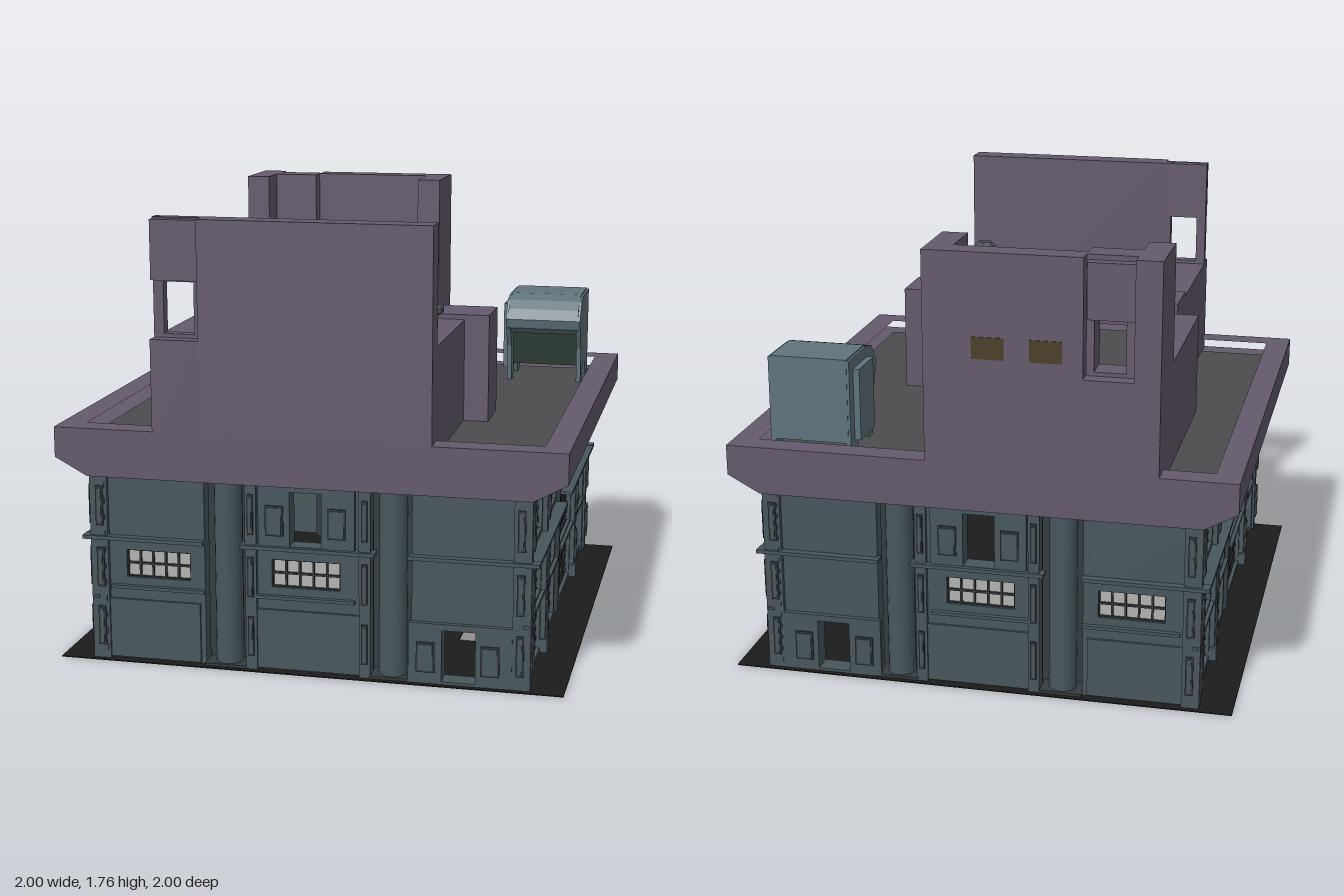
import * as THREE from 'three';

const mat = (color, side = THREE.FrontSide) => new THREE.MeshStandardMaterial({ color, side, flatShading: true });
const M = {
  plaster: mat(0x645a6c), wall: mat(0x48575d), dark: mat(0x333c40), pane: mat(0xb4b4b2), bar: mat(0x34383a),
  deck: mat(0x4c4b4e), unit: mat(0x5f747c), shade: mat(0x23342c), duct: mat(0x4c3d26), vent: mat(0x4a5154),
  floor: mat(0x1c1c1c, THREE.DoubleSide), pit: mat(0x2d1c1a, THREE.DoubleSide),
};
const smoothWall = new THREE.MeshStandardMaterial({ color: 0x48575d });

function add(parent, name, geo, material) {
  const mesh = new THREE.Mesh(geo, material);
  mesh.name = name;
  parent.add(mesh);
  return mesh;
}

// box given by its limits on each axis
function box(parent, name, material, xa, xb, ya, yb, za, zb) {
  const geo = new THREE.BoxGeometry(Math.abs(xb - xa), Math.abs(yb - ya), Math.abs(zb - za));
  geo.translate((xa + xb) / 2, (ya + yb) / 2, (za + zb) / 2);
  return add(parent, name, geo, material);
}

const poly = (pts) => new THREE.Shape(pts.map(([x, y]) => new THREE.Vector2(x, y)));
const rect = (xa, xb, ya, yb) => [[xa, ya], [xb, ya], [xb, yb], [xa, yb]];
function extrude(pts, holes, depth) {
  const shape = poly(pts);
  shape.holes = holes.map(poly);
  return new THREE.ExtrudeGeometry(shape, { depth, bevelEnabled: false });
}
// upright wall in the xy plane, between two z values
const wall = (parent, name, material, outline, holes, za, zb) =>
  add(parent, name, extrude(outline, holes, zb - za).translate(0, 0, za), material);
// level slab from an outline of [x, z] points
function slab(parent, name, material, pts, holes, ya, yb) {
  const flip = (list) => list.map(([x, z]) => [x, -z]);
  return add(parent, name, extrude(flip(pts), holes.map(flip), yb - ya).rotateX(-Math.PI / 2).translate(0, ya, 0), material);
}
// profile of [z, y] points drawn out along x
const alongX = (parent, name, material, pts, xa, xb) =>
  add(parent, name, extrude(pts, [], xb - xa).rotateY(-Math.PI / 2).translate(xb, 0, 0), material);

// glazed opening with a grid of bars
function gridWindow(parent, xa, xb, ya, yb, z, cols, rows) {
  const g = new THREE.Group();
  g.name = 'gridWindow';
  parent.add(g);
  box(g, 'pane', M.pane, xa, xb, ya, yb, z - 0.02, z);
  for (let i = 0; i <= cols; i++) {
    const x = xa + ((xb - xa) * i) / cols;
    box(g, 'verticalBar', M.bar, x - 0.004, x + 0.004, ya, yb, z, z + 0.01);
  }
  for (let j = 0; j <= rows; j++) {
    const y = ya + ((yb - ya) * j) / rows;
    box(g, 'crossBar', M.bar, xa, xb, y - 0.004, y + 0.004, z, z + 0.01);
  }
}

function roundColumn(parent, x, z, r) {
  const geo = new THREE.CylinderGeometry(r, r, 0.75, 20, 1, true).translate(x, 0.375, z);
  add(parent, 'roundColumn', geo, smoothWall);
}

// slim pier with a slot plate on each storey
function pier(parent, x, w, z) {
  box(parent, 'pier', M.wall, x - w / 2, x + w / 2, 0, 0.75, z - 0.06, z);
  for (const y of [0.06, 0.3, 0.55]) {
    box(parent, 'pierSlot', M.bar, x - w / 4, x + w / 4, y, y + 0.16, z, z + 0.008);
    box(parent, 'pierInset', M.wall, x - w / 8, x + w / 8, y + 0.01, y + 0.15, z, z + 0.011);
  }
}

function sidePlate(parent, x, ya, z) {
  box(parent, 'plateFrame', M.bar, x - 0.036, x + 0.036, ya, ya + 0.12, z, z + 0.006);
  box(parent, 'plate', M.wall, x - 0.028, x + 0.028, ya + 0.008, ya + 0.112, z, z + 0.01);
}

// end wall; s mirrors the layout so both ends share the same x positions
function endWall(root, name, s) {
  const g = new THREE.Group();
  g.name = name;
  g.rotation.y = s > 0 ? 0 : Math.PI;
  root.add(g);
  const r = (xa, xb, ya, yb) => rect(Math.min(s * xa, s * xb), Math.max(s * xa, s * xb), ya, yb);
  const b = (n, m, xa, xb, ya, yb, za, zb) => box(g, n, m, s * xa, s * xb, ya, yb, za, zb);
  const w1 = [-0.73, -0.47, 0.34, 0.45], w2 = [-0.14, 0.13, 0.34, 0.45];
  const upperDoor = [-0.065, 0.06, 0.51, 0.725], lowerDoor = [0.53, 0.66, 0.015, 0.22];
  // three bays parted by recessed channels
  wall(g, 'outerBay', M.wall, r(-0.86, -0.41, 0, 0.75), [r(...w1)], 0.9, 0.96);
  wall(g, 'middleBay', M.wall, r(-0.24, 0.25, 0, 0.75), [r(...w2), r(...upperDoor)], 0.9, 0.96);
  wall(g, 'doorBay', M.wall, r(0.41, 0.86, 0, 0.75), [r(...lowerDoor)], 0.9, 0.96);
  for (const x of [-0.325, 0.33]) {
    b('channelBack', M.dark, x - 0.1, x + 0.1, 0, 0.75, 0.86, 0.88);
    roundColumn(g, s * x, 0.915, 0.055);
    b('columnFoot', M.dark, x - 0.085, x + 0.085, 0, 0.015, 0.88, 0.98);
  }
  for (const w of [w1, w2]) {
    gridWindow(g, Math.min(s * w[0], s * w[1]), Math.max(s * w[0], s * w[1]), w[2], w[3], 0.94, 5, 2);
    b('windowSill', M.wall, w[0] - 0.06, w[1] + 0.06, 0.295, 0.308, 0.96, 0.98);
  }
  // thicker ground storey and door surrounds
  b('plinth', M.wall, -0.8, -0.43, 0.01, 0.25, 0.96, 0.97);
  b('plinth', M.wall, -0.2, 0.21, 0.01, 0.25, 0.96, 0.97);
  wall(g, 'lowerDoorSurround', M.wall, r(0.4, 0.8, 0, 0.245), [r(...lowerDoor)], 0.96, 0.98);
  wall(g, 'upperDoorSurround', M.wall, r(-0.19, 0.19, 0.5, 0.75), [r(...upperDoor)], 0.96, 0.975);
  for (const x of [0.468, 0.717]) sidePlate(g, s * x, 0.05, 0.98);
  for (const x of [-0.125, 0.122]) sidePlate(g, s * x, 0.55, 0.975);
  for (const x of [-0.83, -0.22, 0.23, 0.83]) pier(g, s * x, x * x > 0.5 ? 0.06 : 0.045, 0.978);
  for (const [xa, xb] of [[-0.9, -0.41], [-0.26, 0.27], [0.4, 0.9]]) b('ledge', M.wall, xa, xb, 0.493, 0.508, 0.94, 0.992);
}

// long wall with three storeys of large windows
function longWall(root, name, angle) {
  const g = new THREE.Group();
  g.name = name;
  g.rotation.y = angle;
  root.add(g);
  const rows = [[0.025, 0.24], [0.272, 0.48], [0.525, 0.74]];
  for (const s of [-1, 1]) {
    const bays = [[0.1, 0.47], [0.55, 0.92]].map(([a, c]) => (s > 0 ? [a, c] : [-c, -a]));
    const holes = bays.flatMap(([a, c]) => rows.map(([ya, yb]) => rect(a, c, ya, yb)));
    const [ua, ub] = s > 0 ? [0.075, 0.96] : [-0.96, -0.075];
    wall(g, 'windowWall', M.wall, rect(ua, ub, 0, 0.75), holes, 0.8, 0.85);
    for (const [a, c] of bays) for (const [ya, yb] of rows) gridWindow(g, a, c, ya, yb, 0.825, 7, 5);
    pier(g, s * 0.51, 0.05, 0.87);
    pier(g, s * 0.955, 0.05, 0.87);
    for (const y of [0.25, 0.493]) box(g, 'ledge', M.wall, s * 0.08, s * 0.985, y, y + 0.013, 0.84, y > 0.4 ? 0.9 : 0.865);
    box(g, 'pierFoot', M.wall, s * 0.475, s * 0.545, 0, 0.06, 0.84, 0.88);
  }
  box(g, 'channelBack', M.dark, -0.1, 0.1, 0, 0.75, 0.74, 0.76);
  roundColumn(g, 0, 0.785, 0.074);
}

export function createModel() {
  const root = new THREE.Group();
  root.name = 'building';

  // ground sheet with hollows rising into the interior
  const pits = [[0.62, 0.3, 0.11, 0.17], [0.62, -0.3, 0.11, 0.17], [0, 0, 0.09, 0.3], [-0.68, 0.3, 0.11, 0.17], [-0.68, -0.3, 0.11, 0.17]];
  slab(root, 'groundSheet', M.floor, [[-1, -1], [1, -1], [1, 1], [-1, 1]],
    pits.map(([x, z, w, d]) => [[x - w, z - d], [x + w, z - d], [x + w, z + d], [x - w, z + d]]), 0, 0.004);
  for (const [x, z, w, d] of pits) {
    const sides = new THREE.CylinderGeometry(Math.SQRT1_2, Math.SQRT2, 0.12, 4, 1, true).rotateY(Math.PI / 4);
    add(root, 'floorHollow', sides.scale(w, 1, d).translate(x, 0.06, z), M.pit);
    box(root, 'hollowLid', M.pit, x - w / 2, x + w / 2, 0.115, 0.12, z - d / 2, z + d / 2);
  }

  endWall(root, 'frontWall', 1);
  endWall(root, 'backWall', -1);
  longWall(root, 'leftWall', Math.PI / 2);
  longWall(root, 'rightWall', -Math.PI / 2);

  // flared roof and its parapet
  wall(root, 'flaredRoof', M.plaster, [[-0.87, 0.75], [0.87, 0.75], [1, 0.82], [1, 0.88], [-1, 0.88], [-1, 0.82]], [], -1, 1);
  slab(root, 'parapet', M.plaster, [[-1, -1], [1, -1], [1, 1], [-1, 1]], [[[-0.9, -0.9], [0.9, -0.9], [0.9, 0.9], [-0.9, 0.9]]], 0.88, 0.94);
  box(root, 'roofDeck', M.deck, -0.9, 0.9, 0.879, 0.884, -0.9, 0.9);

  // front roof house, cross block and tall front wall
  box(root, 'frontRoofHouse', M.plaster, -0.6, 0.49, 0.88, 1.3, 0.29, 0.92);
  box(root, 'crossBlock', M.plaster, -0.6, 0.59, 0.88, 1.32, 0.08, 0.3);
  const opening = rect(-0.56, -0.44, 1.315, 1.515);
  box(root, 'frontTallWall', M.plaster, -0.41, 0.49, 0.88, 1.76, 0.9, 1);
  wall(root, 'frontOpeningWall', M.plaster, rect(-0.6, -0.41, 0.88, 1.76), [opening], 0.9, 0.945);
  box(root, 'frontOpeningBase', M.plaster, -0.6, -0.41, 0.88, 1.3, 0.945, 1);
  box(root, 'frontOpeningHood', M.plaster, -0.595, -0.41, 1.525, 1.755, 0.945, 0.99);

  // hexagonal roof vents
  for (const z of [0.5, 0.7]) {
    const profile = [[0.028, 1.3], [0.028, 1.345], [0.054, 1.36], [0.054, 1.378], [0.032, 1.402], [0, 1.402]];
    const geo = new THREE.LatheGeometry(profile.map(([r, y]) => new THREE.Vector2(r, y)), 6);
    add(root, 'roofVent', geo.translate(0.39, 0, z), M.vent);
  }

  // back roof house with a stepped rim
  const outer = [[-0.7, -0.9], [0.2, -0.9], [0.2, -0.1], [-0.1, -0.1], [-0.1, 0], [-0.7, 0]];
  const inner = [[-0.6, -0.89], [0.1, -0.89], [0.1, -0.2], [-0.2, -0.2], [-0.2, -0.1], [-0.6, -0.1]];
  slab(root, 'backRoofHouse', M.plaster, outer, [], 0.88, 1.24);
  slab(root, 'backRoofRim', M.plaster, outer, [inner], 1.24, 1.3);
  slab(root, 'backRoofDeck', M.deck, inner, [], 1.239, 1.243);

  // tall back wall with returns and a recessed opening
  box(root, 'backWallBase', M.plaster, -0.7, 0.2, 0.88, 1.3, -1, -0.9);
  box(root, 'backTallWall', M.plaster, -0.41, 0.2, 1.3, 1.76, -1, -0.9);
  box(root, 'rightReturn', M.plaster, -0.7, -0.6, 1.3, 1.76, -1, -0.695);
  box(root, 'leftReturn', M.plaster, 0.1, 0.2, 1.3, 1.76, -0.9, -0.695);
  wall(root, 'backOpeningWall', M.plaster, rect(-0.6, -0.41, 1.24, 1.76), [opening], -0.94, -0.83);
  box(root, 'backOpeningHood', M.plaster, -0.6, -0.42, 1.525, 1.74, -0.985, -0.94);

  // bent ducts running out through the back wall
  const duct = [[-1, 1.355], [-0.38, 1.355], [-0.36, 1.335], [-0.36, 1.24], [-0.26, 1.24], [-0.265, 1.38], [-0.295, 1.415], [-0.35, 1.44], [-1, 1.44]];
  for (const x of [-0.27, -0.05]) {
    alongX(root, 'duct', M.duct, duct.map(([z, y]) => [z < -0.9 ? z - 0.003 : z, y]), x - 0.062, x + 0.062);
    for (const s of [-1, 1]) box(root, 'ductBracket', M.bar, x + s * 0.062, x + s * 0.07, 1.24, 1.445, -0.53, -0.515);
    box(root, 'ductStrap', M.bar, x - 0.07, x + 0.07, 1.44, 1.446, -0.53, -0.515);
  }

  // hooded roof unit: cheeks, rounded hood, shaded recess
  const hood = [[-0.85, 1.1], [-0.56, 1.1], [-0.51, 1.13], [-0.5, 1.17], [-0.52, 1.215], [-0.56, 1.25], [-0.63, 1.27], [-0.85, 1.27]];
  const cheek = [[-0.85, 0.88], [-0.77, 0.88], [-0.74, 0.95], [-0.65, 0.95], [-0.62, 0.88], [-0.57, 0.88], [-0.56, 1.04], [-0.53, 1.1], [-0.5, 1.17], [-0.56, 1.25], [-0.63, 1.265], [-0.85, 1.265]];
  alongX(root, 'unitHood', M.unit, hood, 0.55, 0.86);
  for (const x of [0.54, 0.85]) alongX(root, 'unitCheek', M.unit, cheek, x, x + 0.02);
  box(root, 'unitBody', M.shade, 0.555, 0.855, 0.95, 1.11, -0.84, -0.62);
  box(root, 'unitBack', M.unit, 0.55, 0.86, 0.93, 1.27, -0.852, -0.83);
  box(root, 'unitSideBox', M.unit, 0.515, 0.545, 0.93, 1.22, -0.8, -0.62);
  return root;
}
